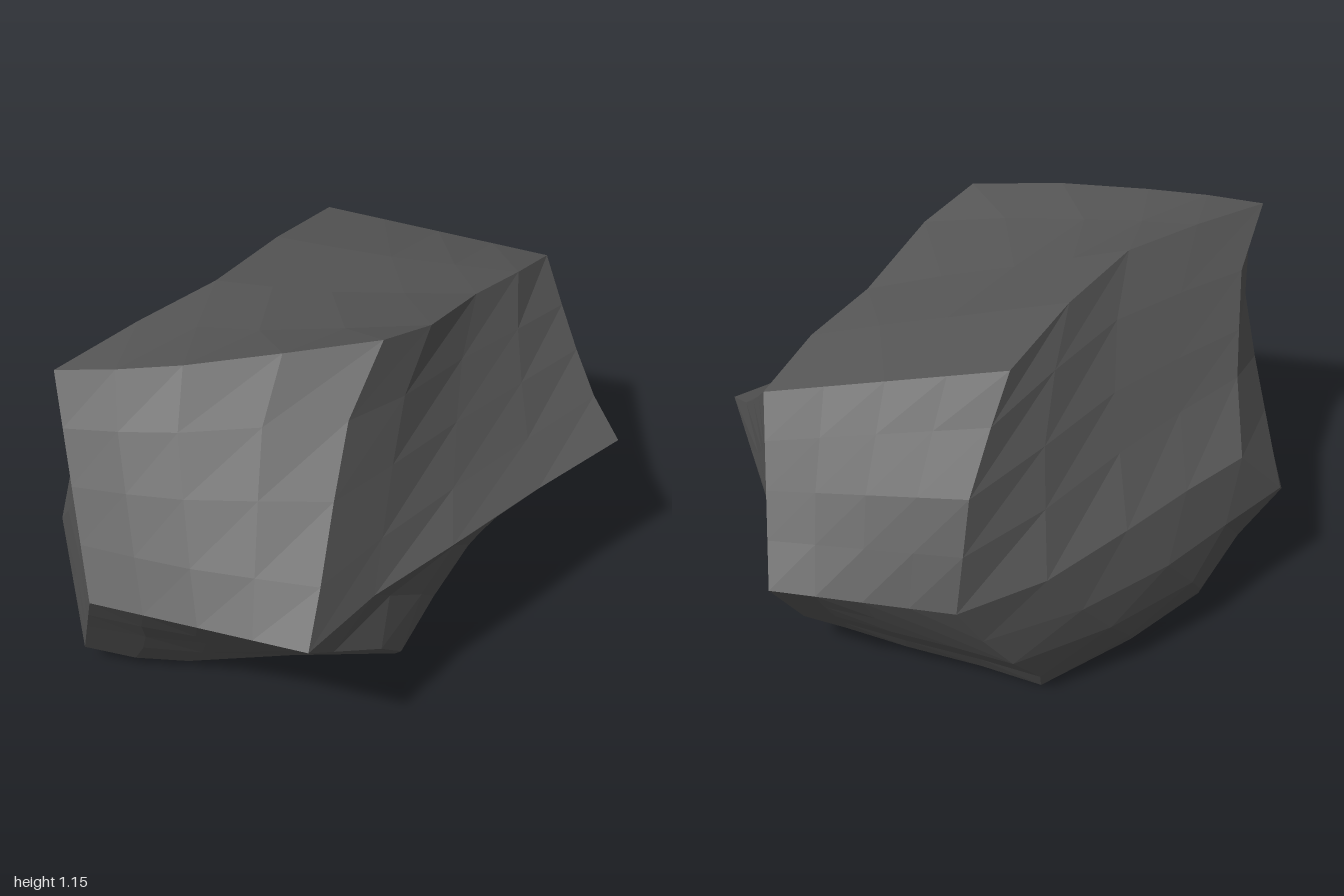
import * as THREE from 'three';

const N = 4; // segments along each facet edge

// Corner points: tips, then front and back rings
const corners = {
  frontTip: [0, 0.58, 1], backTip: [0, 0.53, -1],
  A: [-0.3, 1.08, 0.78], B: [0.57, 0.58, 0.78], C: [-0.3, 0.08, 0.78],
  D: [0.35, 1.15, 0.2], E: [-0.65, 0.6, 0.24], F: [0.42, 0.06, 0.2],
  P: [0.25, 0.93, -0.75], Q: [0.19, 0.15, -0.73], R: [-0.44, 0.53, -0.74],
  U: [0.7, 0.58, -0.5], V: [-0.31, 1.06, -0.38], W: [-0.42, 0, -0.37],
};

// Inner points of the bent edges; edges not listed are straight
const bends = {
  'A-D': [[-0.16, 1.095, 0.69], [-0.02, 1.11, 0.58], [0.17, 1.135, 0.4]],
  'A-E': [[-0.38, 0.97, 0.57], [-0.46, 0.85, 0.46], [-0.52, 0.75, 0.38]],
  'C-E': [[-0.45, 0.18, 0.67], [-0.6, 0.28, 0.56], [-0.69, 0.42, 0.4]],
  'B-D': [[0.52, 0.7, 0.67], [0.45, 0.86, 0.53], [0.385, 1.01, 0.39]],
  'B-F': [[0.525, 0.44, 0.62], [0.54, 0.32, 0.43], [0.52, 0.21, 0.31]],
  'C-F': [[-0.17, 0.055, 0.7], [-0.05, 0.04, 0.6], [0.18, 0.055, 0.4]],
  'B-U': [[0.565, 0.58, 0.5], [0.605, 0.58, 0.2], [0.64, 0.57, -0.17]],
  'D-P': [[0.36, 1.1, 0], [0.3, 1.03, -0.3], [0.29, 0.99, -0.53]],
  'A-V': [[-0.26, 1.11, 0.5], [-0.22, 1.125, 0.23], [-0.26, 1.11, -0.08]],
  'E-R': [[-0.61, 0.58, 0.03], [-0.58, 0.56, -0.2], [-0.53, 0.53, -0.48]],
  'C-W': [[-0.42, 0.045, 0.5], [-0.53, 0.015, 0.25], [-0.5, 0.01, -0.05]],
  'P-U': [[0.36, 0.83, -0.68], [0.46, 0.74, -0.62], [0.57, 0.65, -0.56]],
  'R-V': [[-0.42, 0.68, -0.69], [-0.39, 0.82, -0.63], [-0.35, 0.96, -0.5]],
  'R-W': [[-0.45, 0.38, -0.65], [-0.47, 0.24, -0.55], [-0.45, 0.08, -0.41]],
  'Q-W': [[0.08, 0.12, -0.66], [-0.08, 0.09, -0.58], [-0.27, 0.045, -0.46]],
};

const point = (name) => new THREE.Vector3(...corners[name]);

// Points along an edge, in the requested direction
function edge(a, b) {
  const forward = bends[`${a}-${b}`];
  const inner = forward || (bends[`${b}-${a}`] || []).slice().reverse();
  if (inner.length) return [point(a), ...inner.map((p) => new THREE.Vector3(...p)), point(b)];
  return Array.from({ length: N + 1 }, (_, i) => point(a).lerp(point(b), i / N));
}

// Four-sided facet blended between its four edges
function facet([a, b, c, d], out) {
  const ab = edge(a, b), dc = edge(d, c), ad = edge(a, d), bc = edge(b, c);
  const grid = [];
  for (let j = 0; j <= N; j++) {
    const row = [];
    for (let i = 0; i <= N; i++) {
      const u = i / N, v = j / N;
      const across = ab[i].clone().lerp(dc[i], v);
      const along = ad[j].clone().lerp(bc[j], u);
      const flat = point(a).lerp(point(b), u).lerp(point(d).lerp(point(c), u), v);
      row.push(across.add(along).sub(flat));
    }
    grid.push(row);
  }
  // Wind the facet so that it faces away from the middle of the rock
  const normal = point(c).sub(point(a)).cross(point(d).sub(point(b)));
  const middle = grid[N / 2][N / 2].clone().sub(new THREE.Vector3(0, 0.57, 0));
  const outward = normal.dot(middle) > 0;
  const tri = (p, q, r) => (outward ? [p, q, r] : [p, r, q]).forEach((k) => out.push(k.x, k.y, k.z));
  for (let j = 0; j < N; j++) {
    for (let i = 0; i < N; i++) {
      const p = grid[j][i], q = grid[j][i + 1], r = grid[j + 1][i + 1], s = grid[j + 1][i];
      tri(p, q, r);
      tri(p, r, s);
    }
  }
}

export function createModel() {
  const group = new THREE.Group();
  group.name = 'facetedRock';
  const material = new THREE.MeshStandardMaterial({ color: 0x555555, flatShading: true });

  const parts = {
    frontFacets: [['frontTip', 'B', 'D', 'A'], ['frontTip', 'A', 'E', 'C'], ['frontTip', 'C', 'F', 'B']],
    sideFacets: ['BUPD', 'DPVA', 'AVRE', 'ERWC', 'CWQF', 'FQUB'].map((s) => s.split('')),
    backFacets: [['backTip', 'P', 'U', 'Q'], ['backTip', 'R', 'V', 'P'], ['backTip', 'Q', 'W', 'R']],
  };
  for (const [name, facets] of Object.entries(parts)) {
    const positions = [];
    facets.forEach((f) => facet(f, positions));
    const geometry = new THREE.BufferGeometry();
    geometry.setAttribute('position', new THREE.Float32BufferAttribute(positions, 3));
    geometry.computeVertexNormals();
    const mesh = new THREE.Mesh(geometry, material);
    mesh.name = name;
    group.add(mesh);
  }
  return group;
}
